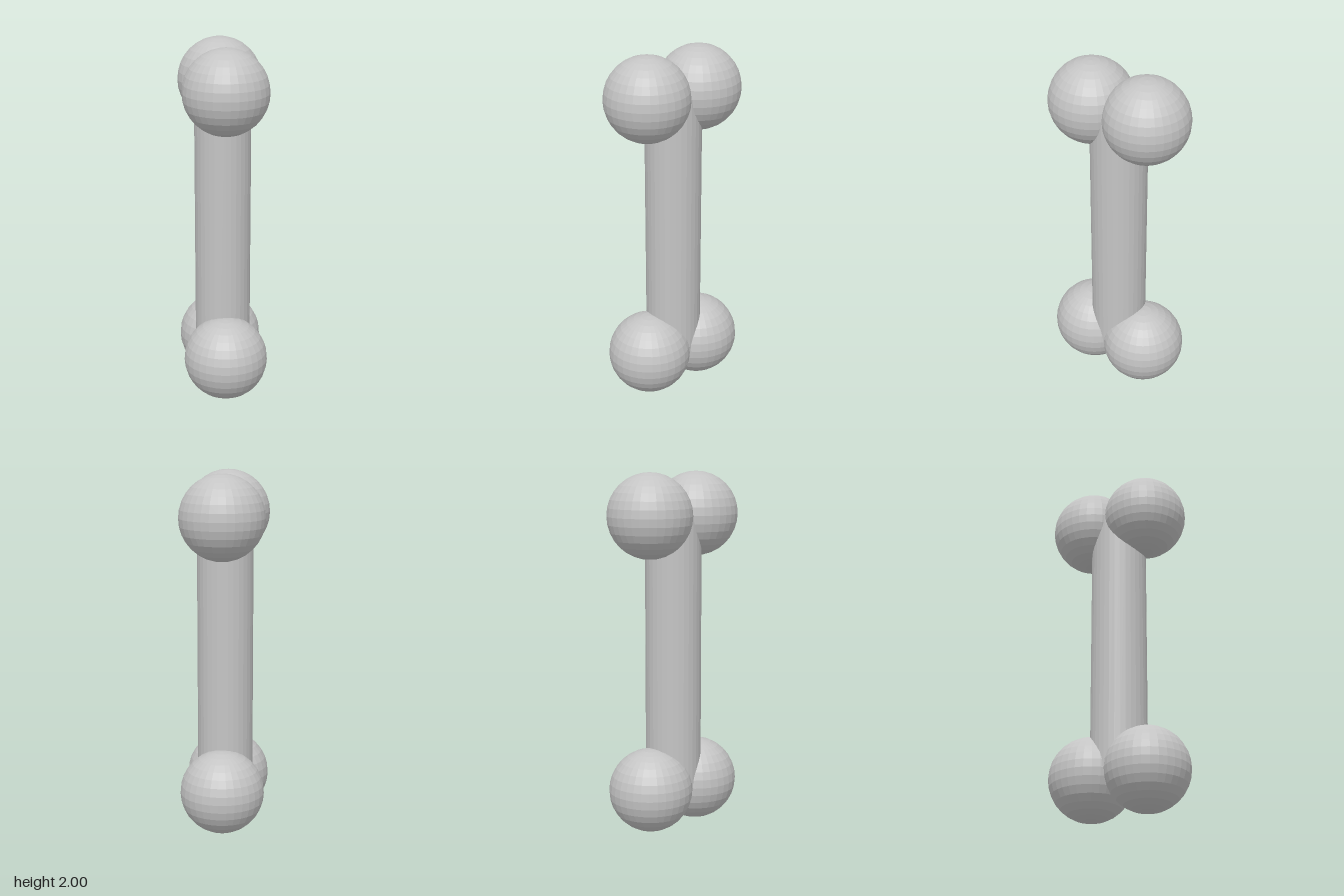
import * as THREE from 'three';

export function createModel() {
  const model = new THREE.Group();
  model.name = 'bone';
  const grey = new THREE.MeshStandardMaterial({ color: 0xc4c4c4, flatShading: true });
  grey.name = 'light grey';

  const R = 0.234;        // knob radius
  const knobZ = 0.176;    // knob offset from the shaft axis
  const ends = { bottom: R, top: 2 - R };

  // Shaft, ending at the knob centres
  const shaft = new THREE.Mesh(
    new THREE.CylinderGeometry(0.156, 0.156, ends.top - ends.bottom, 32), grey);
  shaft.name = 'shaft';
  shaft.position.y = 1;
  model.add(shaft);

  // A pair of round knobs at each end
  const knobGeometry = new THREE.SphereGeometry(R, 32, 16);
  for (const [end, y] of Object.entries(ends)) {
    for (const side of [1, -1]) {
      const knob = new THREE.Mesh(knobGeometry, grey);
      knob.name = end + (side > 0 ? 'FrontKnob' : 'BackKnob');
      knob.position.set(0, y, side * knobZ);
      model.add(knob);
    }
  }
  return model;
}
